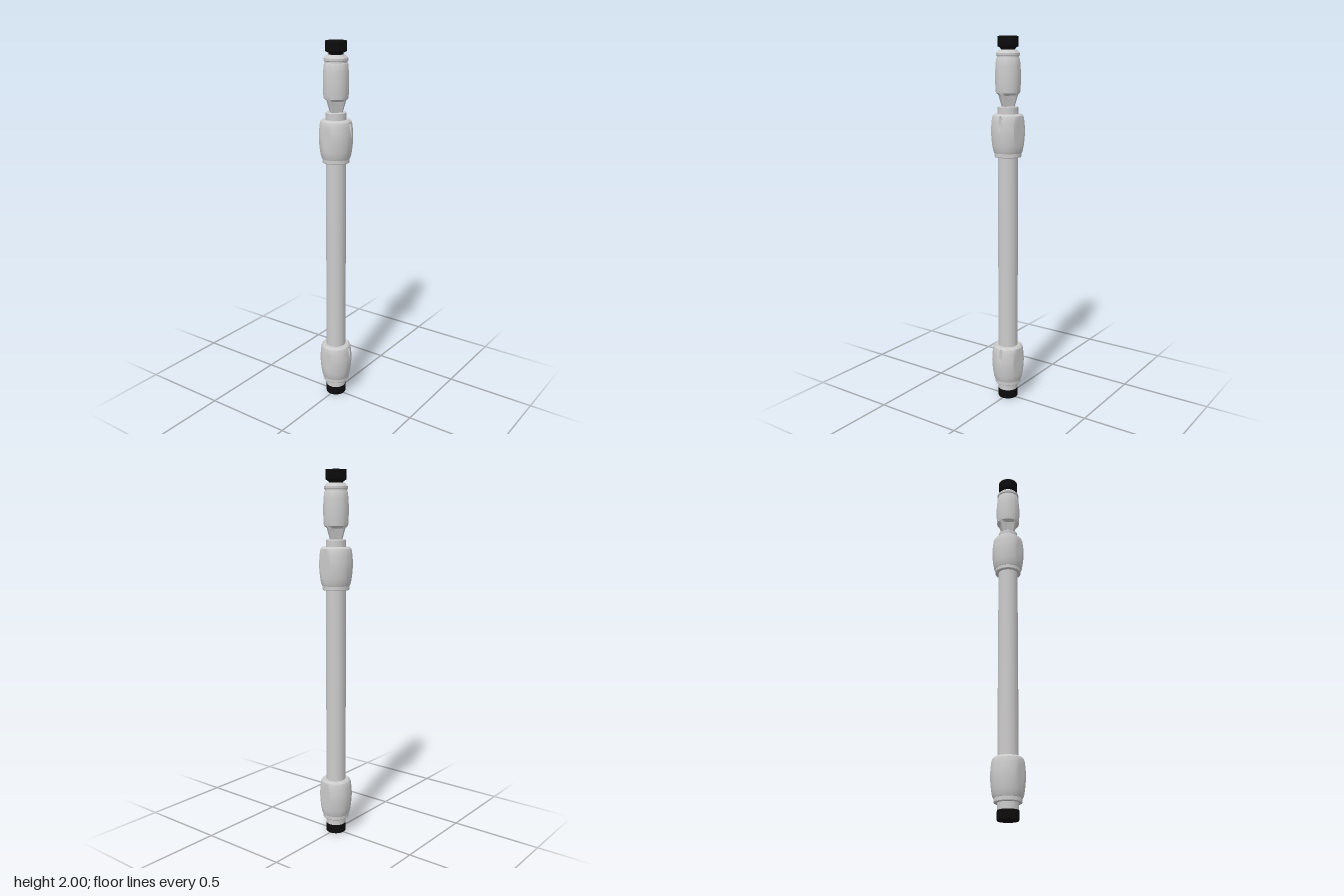
import * as THREE from 'three';
import { toCreasedNormals } from 'three/addons/utils/BufferGeometryUtils.js';

const grey = new THREE.MeshStandardMaterial({ color: 0xcccccc });
const black = new THREE.MeshStandardMaterial({ color: 0x0c0c0c });

// Turned part from [radius, y] pairs listed bottom to top; shape(angle, y, r) may alter the radius.
function turned(name, profile, material = grey, shape = null, segments = 60) {
  const geo = new THREE.LatheGeometry(profile.map(([r, y]) => new THREE.Vector2(r, y)), segments);
  if (shape) {
    const p = geo.attributes.position;
    for (let i = 0; i < p.count; i++) {
      const x = p.getX(i), y = p.getY(i), z = p.getZ(i), r = Math.hypot(x, z);
      if (r < 1e-5) continue;
      const k = shape(Math.atan2(x, z), y, r) / r;
      p.setXYZ(i, x * k, y, z * k);
    }
  }
  const mesh = new THREE.Mesh(toCreasedNormals(geo, 0.4), material);
  mesh.name = name;
  return mesh;
}

// Radius limited by a flat whose normal points at the given angle.
function cut(r, angle, normal, distance) {
  const c = Math.cos(angle - normal);
  return c > 0.05 ? Math.min(r, distance / c) : r;
}

// Barrel-shaped grip nut with side flats and a tapering notch in front.
function collarShape(angle, y, r) {
  let out = cut(r, angle, 1.414, 0.08);
  out = cut(out, angle, -Math.PI / 2, 0.084);
  if (angle > 0.06 && angle < 0.16 && y > 0.12 && y < 0.19) out -= 0.2 * (y - 0.11);
  return out;
}

function collar(name, y) {
  const group = new THREE.Group();
  group.name = name;
  group.add(
    turned('gripNut', [
      [0.05, 0], [0.074, 0], [0.079, 0.012], [0.084, 0.04], [0.088, 0.075], [0.09, 0.11],
      [0.0895, 0.13], [0.087, 0.16], [0.084, 0.185], [0.08, 0.196], [0.07, 0.205], [0.05, 0.205],
    ], grey, collarShape),
    turned('lipRing', [[0.05, -0.022], [0.07, -0.022], [0.072, -0.019], [0.072, 0.002], [0.05, 0.002]]),
  );
  group.position.y = y;
  return group;
}

// Four flats carved below the fitting's shoulder.
function wrenchFlats(angle, y, r) {
  if (y > 1.712) return r;
  const depth = 0.03 + 0.018 * (y - 1.64) / 0.072;
  for (let i = 0; i < 4; i++) r = cut(r, angle, Math.PI / 4 + i * Math.PI / 2, depth);
  return r;
}

export function createModel() {
  const model = new THREE.Group();
  model.name = 'connectorRod';
  model.add(
    // Main tube and its end plug
    turned('mainTube', [[0.054, 0.045], [0.054, 1.4]]),
    turned('bottomCap', [[0, 0], [0.053, 0], [0.055, 0.003], [0.055, 0.05], [0, 0.05]], black),
    collar('lowerCollar', 0.108),
    collar('upperCollar', 1.4),
    // Short neck above the upper collar
    turned('neck', [[0.054, 1.58], [0.054, 1.64], [0.05, 1.643], [0, 1.643]]),
    // Top fitting
    turned('topFitting', [
      [0, 1.635], [0.037, 1.635], [0.042, 1.65], [0.05, 1.675], [0.058, 1.7], [0.0625, 1.712],
      [0.0635, 1.7125], [0.066, 1.735], [0.067, 1.78], [0.067, 1.82], [0.065, 1.85], [0.062, 1.885],
      [0.06, 1.89], [0.058, 1.893], [0.058, 1.899], [0.062, 1.903], [0.062, 1.915], [0.058, 1.92],
      [0.046, 1.932], [0, 1.932],
    ], grey, wrenchFlats),
    // Black end cap with a narrower underside
    turned('topCap', [
      [0, 1.925], [0.036, 1.925], [0.038, 1.94], [0.053, 1.948], [0.055, 1.951],
      [0.055, 1.997], [0.053, 2], [0, 2],
    ], black),
  );
  return model;
}
